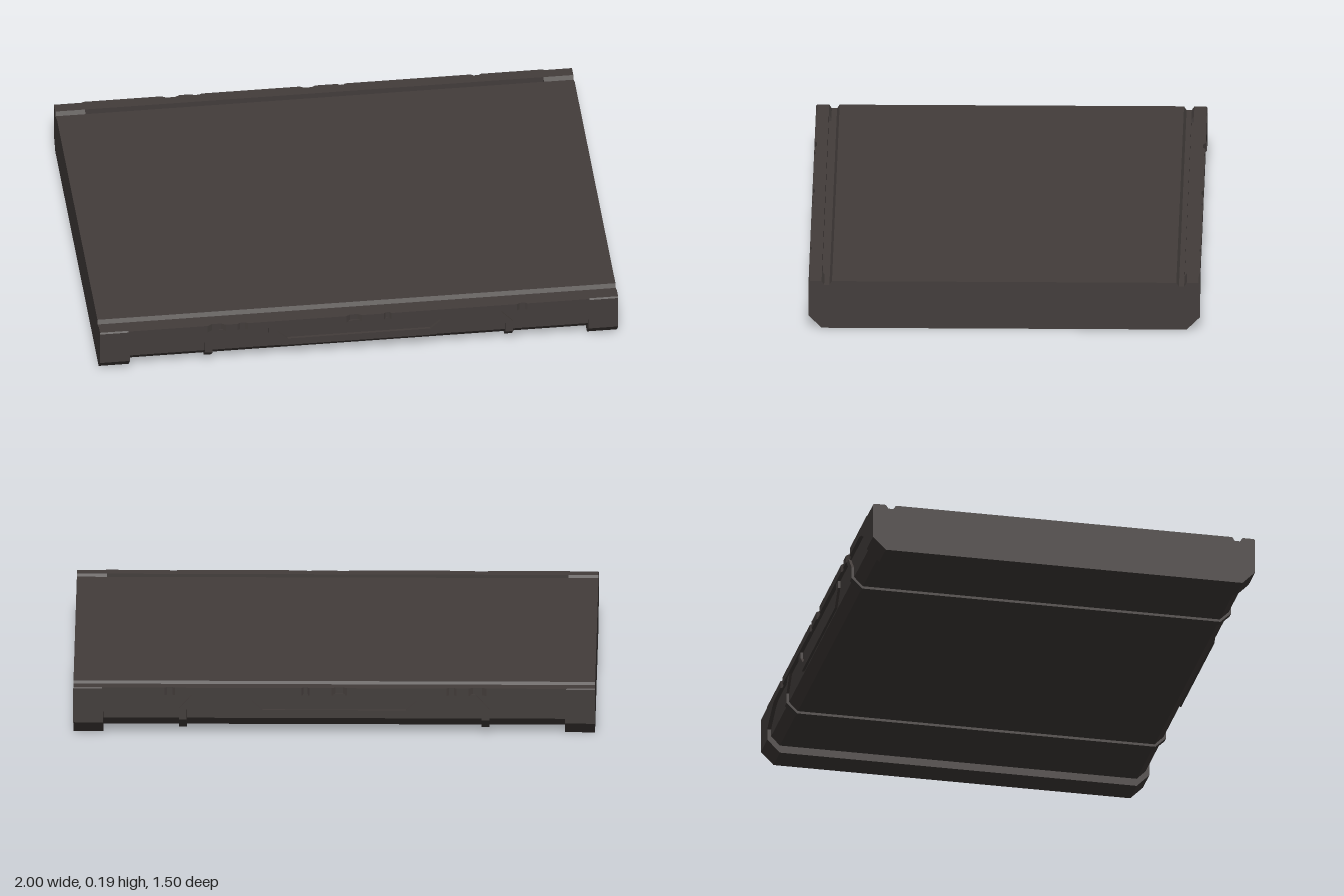
import * as THREE from 'three';

const charcoal = new THREE.MeshStandardMaterial({ color: 0x433d3b });
charcoal.name = 'charcoal';

function outline(points) {
  return new THREE.Shape(points.map(([x, y]) => new THREE.Vector2(x, y)));
}

function part(name, geometry) {
  const mesh = new THREE.Mesh(geometry, charcoal);
  mesh.name = name;
  return mesh;
}

// Sweeps half a [z, y] section, mirrored in z, along x from x0 to x1
function section(name, half, x0, x1) {
  const mirrored = half.map(([z, y]) => [-z, y]).reverse();
  const geo = new THREE.ExtrudeGeometry(outline([...half, ...mirrored]), { depth: x1 - x0, bevelEnabled: false });
  geo.rotateY(Math.PI / 2).translate(x0, 0, 0);
  return part(name, geo);
}

// Plate drawn in x and y, standing on the front from z0 to z1
function plate(name, points, z0, z1, hole) {
  const shape = outline(points);
  if (hole) shape.holes.push(outline(hole));
  const geo = new THREE.ExtrudeGeometry(shape, { depth: z1 - z0, bevelEnabled: false });
  return part(name, geo.translate(0, 0, z0));
}

// Top rim with shallow chips along its outer edge, drawn in plan
function chippedRim(side) {
  const chips = [[-0.55, 0.07, 0.01], [-0.45, 0.04, 0.006], [-0.02, 0.06, 0.009], [0.11, 0.03, 0.007], [0.63, 0.04, 0.007]]
    .map(([x, w, d]) => [x * side, w, d]).sort((a, b) => a[0] - b[0]);
  const edge = [[-0.89, -0.75]];
  for (const [x, w, d] of chips) {
    edge.push([x - w / 2, -0.75], [x - w / 4, -0.75 + d], [x + w / 4, -0.75 + d], [x + w / 2, -0.75]);
  }
  edge.push([0.89, -0.75], [0.89, -0.7], [-0.89, -0.7]);
  const geo = new THREE.ExtrudeGeometry(outline(edge), { depth: 0.03, bevelEnabled: false });
  return part('chippedRim', geo.rotateX(-Math.PI / 2).translate(0, 0.16, 0));
}

// Trim on one long edge
function edgeTrim(side) {
  const trim = new THREE.Group();
  trim.name = side > 0 ? 'frontTrim' : 'backTrim';
  trim.add(chippedRim(side));
  for (const s of [-1, 1]) {
    const flip = (pts) => pts.map(([x, y]) => [x * s, y]);
    // sloped corner gusset where the recess meets the end rail
    trim.add(plate('cornerGusset', flip([[0.89, 0.09], [0.89, 0.165], [0.74, 0.165], [0.79, 0.15], [0.86, 0.11]]), 0.73, 0.75));
    // bent strap rising from the underside ridge
    trim.add(plate('bentStrap', flip([[0.595, 0.06], [0.595, 0.105], [0.54, 0.165], [0.505, 0.165], [0.565, 0.1], [0.565, 0.06]]), 0.73, 0.745));
  }
  // raised trapezoid frame in the centre
  trim.add(plate('centreFrame',
    [[-0.35, 0.165], [-0.35, 0.13], [-0.295, 0.07], [0.295, 0.07], [0.35, 0.13], [0.35, 0.165]], 0.73, 0.745,
    [[-0.315, 0.16], [0.315, 0.16], [0.315, 0.135], [0.275, 0.1], [-0.275, 0.1], [-0.315, 0.135]]));
  if (side < 0) trim.rotation.y = Math.PI;
  return trim;
}

export function createModel() {
  const model = new THREE.Group();
  model.name = 'slab';

  // recessed middle body
  model.add(section('body', [
    [0.7, 0.03], [0.735, 0.065], [0.735, 0.165], [0.69, 0.165], [0.69, 0.175], [0.67, 0.175], [0.66, 0.19],
  ], -0.89, 0.89));

  // full-height end rails with chamfered corners and top grooves
  const rail = [
    [0.7, 0], [0.75, 0.05], [0.75, 0.185], [0.745, 0.19], [0.7, 0.19], [0.69, 0.175], [0.67, 0.175], [0.66, 0.19],
  ];
  model.add(section('rightEndRail', rail, -1, -0.885), section('leftEndRail', rail, 0.885, 1));

  // thin ridges running across the underside and up the chamfers
  const ridge = [[0.703, 0.02], [0.745, 0.06], [0.745, 0.07], [0.73, 0.07], [0.69, 0.035]];
  for (const x of [-0.58, 0.58]) model.add(section('undersideRidge', ridge, x - 0.015, x + 0.015));

  model.add(edgeTrim(1), edgeTrim(-1));
  return model;
}
